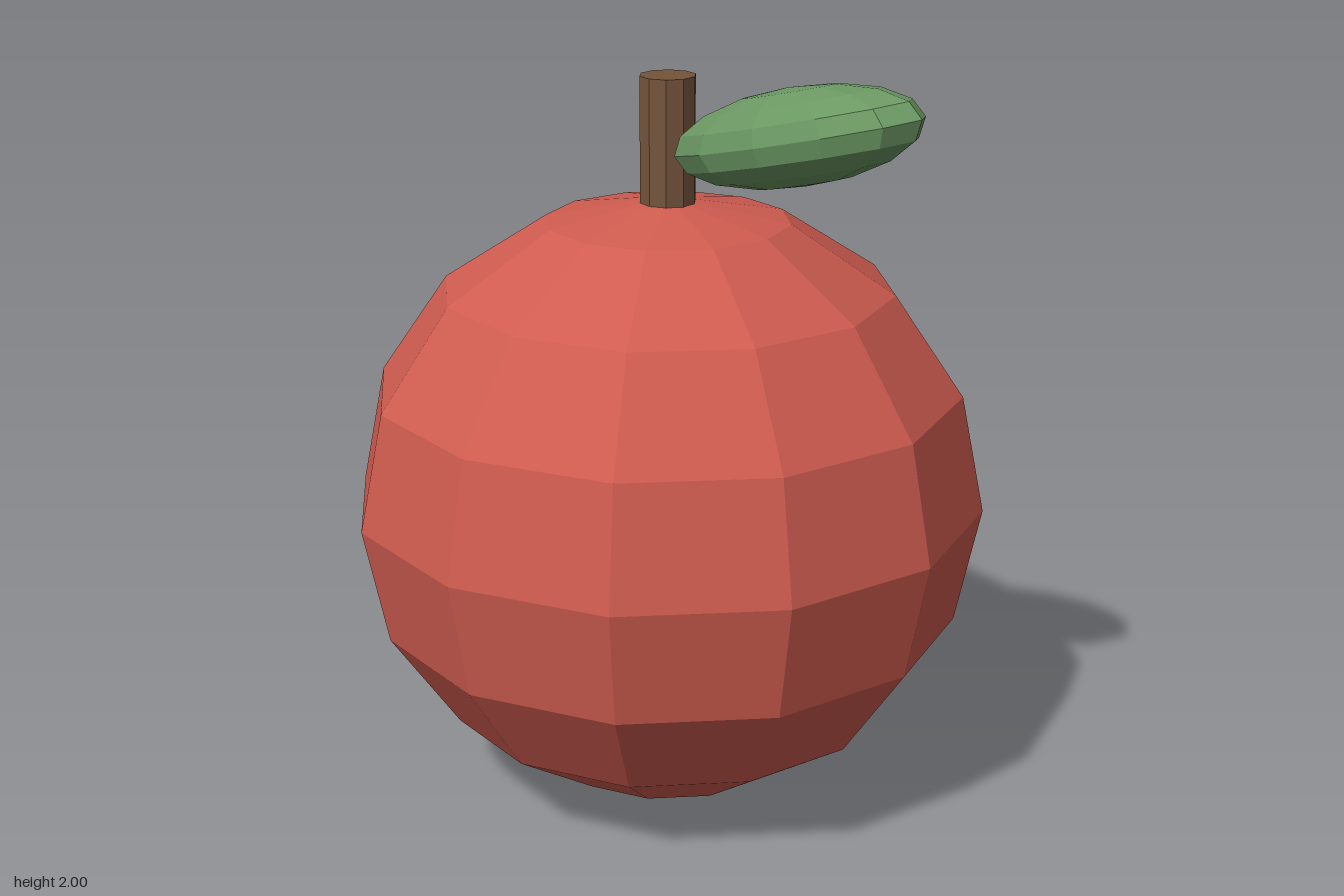
import * as THREE from 'three';

const mat = (color) => new THREE.MeshStandardMaterial({ color, flatShading: true });

export function createModel() {
  const model = new THREE.Group();
  const add = (name, geometry, color, x, y) => {
    const mesh = new THREE.Mesh(geometry, mat(color));
    mesh.name = name;
    mesh.position.set(x, y, 0);
    model.add(mesh);
    return mesh;
  };

  // Slightly squashed faceted fruit
  const fruit = new THREE.SphereGeometry(0.845, 12, 8).scale(1, 0.97, 1);
  add('fruit', fruit, 0xd05c50, 0, 0.82);

  // Ten-sided stem, sunk into the fruit
  add('stem', new THREE.CylinderGeometry(0.074, 0.074, 0.38, 10), 0x75543c, 0, 1.765);

  // Flattened ellipsoid leaf, tilted up away from the stem
  const leaf = new THREE.SphereGeometry(1, 12, 8).scale(0.374, 0.123, 0.18);
  add('leaf', leaf, 0x6b9863, 0.41, 1.85).rotation.z = 0.243;

  return model;
}
